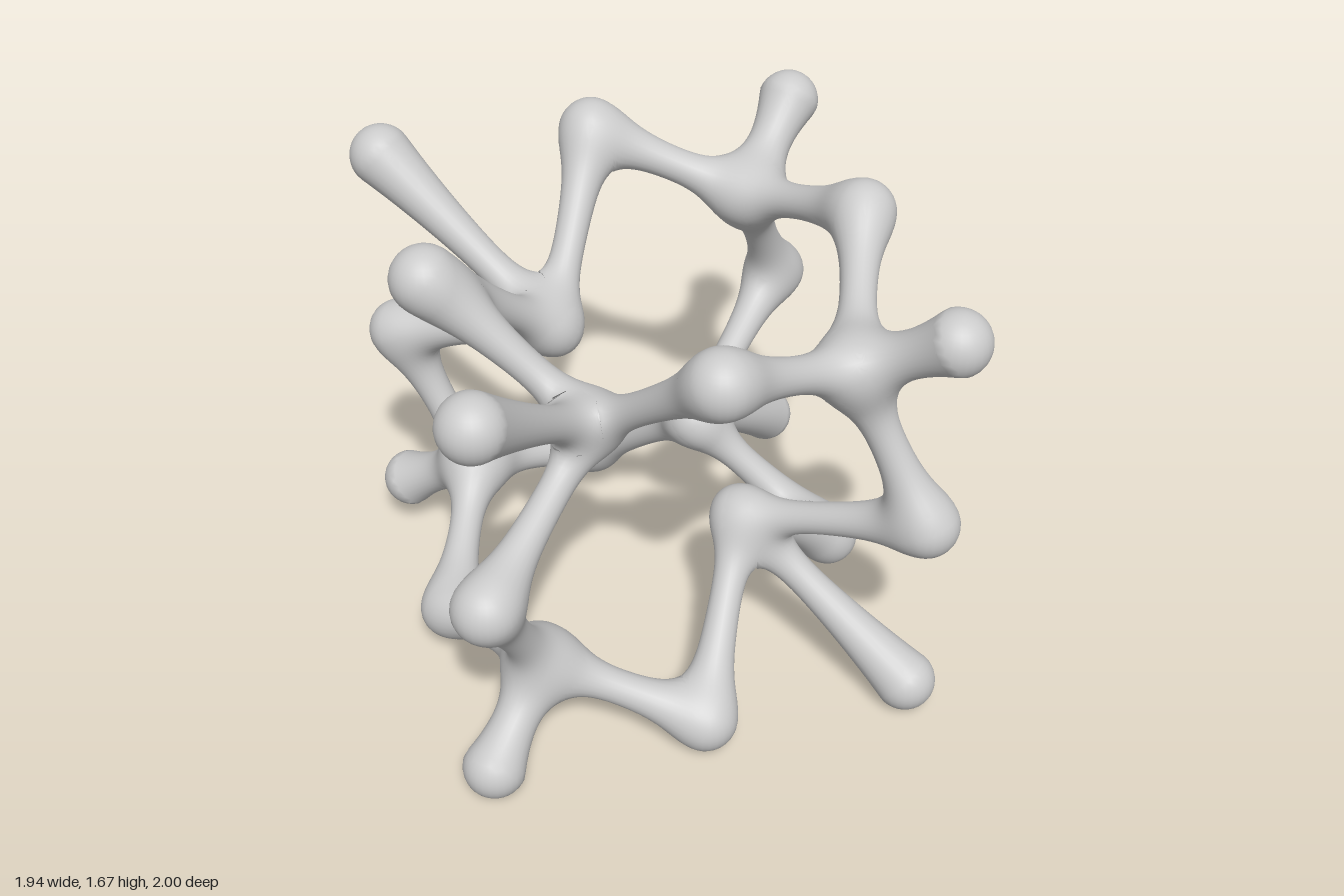
import * as THREE from 'three';

const V = (x, y, z) => new THREE.Vector3(x, y, z);
const CENTRE = V(0, 0.835, 0);
const BLEND = 0.062; // softness of the fillets where limbs meet

// Knob centres: a slightly tilted cube, top ring then bottom ring
const knobs = [
  V(0.435, 1.475, 0.895), V(0.84, 1.565, -0.42), V(-0.47, 1.565, -0.815), V(-0.87, 1.47, 0.495),
  V(0.465, 0.1, 0.82), V(0.87, 0.205, -0.5), V(-0.44, 0.2, -0.9), V(-0.84, 0.11, 0.42),
];
// How far each hub sits along the line from the centre to its knob
const reach = [0.7, 0.7, 0.355, 0.355, 0.355, 0.355, 0.7, 0.7];
const hubs = knobs.map((k, i) => CENTRE.clone().lerp(k, reach[i]));

// Cube edges: top ring, bottom ring and uprights
const edges = [];
for (let i = 0; i < 4; i++) {
  edges.push([i, (i + 1) % 4], [4 + i, 4 + (i + 1) % 4], [i, i + 4]);
}
const elbows = edges.map(([a, b]) => knobs[a].clone().lerp(knobs[b], 0.5).lerp(CENTRE, 0.01));

// Limbs: a spike from each hub to its knob, two arms to each elbow
const limbs = [];
function addLimb(name, hub, to, tip, power) {
  const from = hubs[hub];
  const axis = to.clone().sub(from);
  const root = reach[hub] > 0.5 ? 0.028 : 0.01; // the deep hubs are slimmer
  limbs.push({ name, from, to, axis, root, tip, power, len2: axis.lengthSq() });
}
knobs.forEach((k, i) => addLimb('spike', i, k, 0.1, 2.4));
edges.forEach((pair, i) => pair.forEach((h) => addLimb('bridgeArm', h, elbows[i], 0.062, 2)));

// Signed distance to all limbs, softly blended
function field(x, y, z) {
  let sum = 0;
  for (const { from, axis, len2, root, tip, power } of limbs) {
    const px = x - from.x, py = y - from.y, pz = z - from.z;
    const t = Math.min(1, Math.max(0, (px * axis.x + py * axis.y + pz * axis.z) / len2));
    const d = Math.hypot(px - axis.x * t, py - axis.y * t, pz - axis.z * t);
    const radius = 0.049 + (root - 0.049) * (1 - t) ** 4 + (tip - 0.049) * t ** power;
    sum += Math.exp((radius - d) / BLEND);
  }
  return -BLEND * Math.log(sum + 1e-30);
}

function fieldNormal({ x, y, z }) {
  const e = 0.002;
  return V(
    field(x + e, y, z) - field(x - e, y, z),
    field(x, y + e, z) - field(x, y - e, z),
    field(x, y, z + e) - field(x, y, z - e),
  ).normalize();
}

// Let every vertex drift along the field to the blended skin
function fitToSkin(geometry) {
  const pos = geometry.attributes.position;
  const nor = geometry.attributes.normal;
  for (let i = 0; i < pos.count; i++) {
    const p = V().fromBufferAttribute(pos, i);
    for (let k = 0; k < 16; k++) {
      const d = field(p.x, p.y, p.z);
      if (Math.abs(d) < 0.0002) break;
      p.addScaledVector(fieldNormal(p), -THREE.MathUtils.clamp(d, -0.02, 0.02));
    }
    const n = fieldNormal(p);
    pos.setXYZ(i, p.x, p.y, p.z);
    nor.setXYZ(i, n.x, n.y, n.z);
  }
  return geometry;
}

function limbGeometry({ from, to, axis }) {
  const length = axis.length();
  const g = new THREE.CylinderGeometry(0.04, 0.04, length, 24, Math.ceil(length / 0.022), true);
  g.applyQuaternion(new THREE.Quaternion().setFromUnitVectors(V(0, 1, 0), axis.clone().normalize()));
  const mid = from.clone().lerp(to, 0.5);
  return fitToSkin(g.translate(mid.x, mid.y, mid.z));
}

function nodeGeometry(centre) {
  const g = new THREE.SphereGeometry(0.045, 28, 20);
  return fitToSkin(g.translate(centre.x, centre.y, centre.z));
}

export function createModel() {
  const model = new THREE.Group();
  model.name = 'cageLattice';
  const material = new THREE.MeshStandardMaterial({ color: 0xcccccc });
  const add = (name, geometry) => {
    const mesh = new THREE.Mesh(geometry, material);
    mesh.name = name;
    model.add(mesh);
  };
  limbs.forEach((limb) => add(limb.name, limbGeometry(limb)));
  hubs.forEach((p) => add('hub', nodeGeometry(p)));
  elbows.forEach((p) => add('elbow', nodeGeometry(p)));
  knobs.forEach((p) => add('knob', nodeGeometry(p)));
  return model;
}
